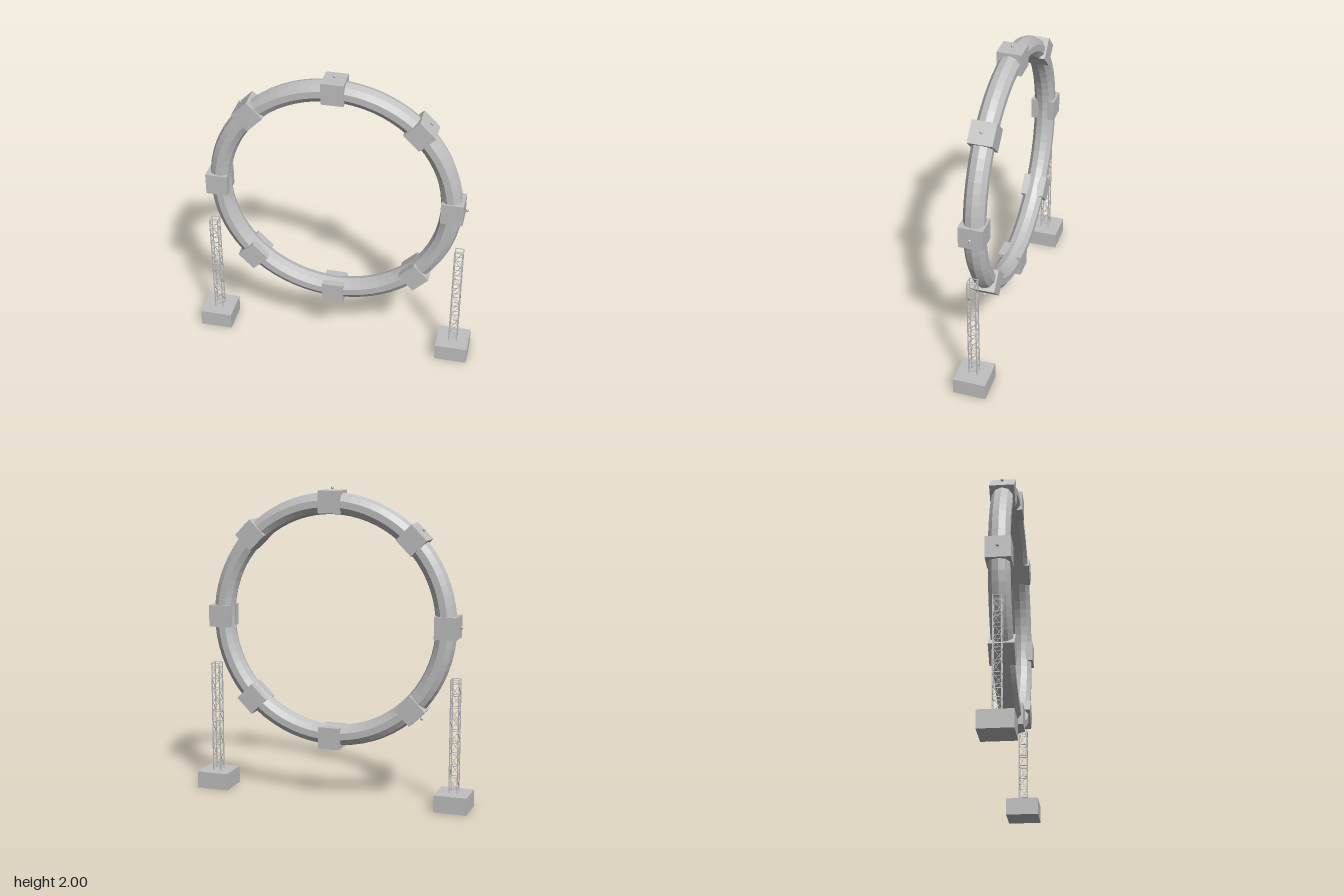
import * as THREE from 'three';

const grey = new THREE.MeshStandardMaterial({ color: 0xc0c0c0, flatShading: true });
grey.name = 'light grey';

const RING_Y = 1.155;

function add(parent, name, geometry, x = 0, y = 0, z = 0) {
  const mesh = new THREE.Mesh(geometry, grey);
  mesh.name = name;
  mesh.position.set(x, y, z);
  parent.add(mesh);
  return mesh;
}

// Thin square bar between two points
function strut(parent, name, a, b, t) {
  const dir = b.clone().sub(a);
  const mesh = add(parent, name, new THREE.BoxGeometry(t, dir.length(), t));
  mesh.position.copy(a).add(b).multiplyScalar(0.5);
  mesh.quaternion.setFromUnitVectors(new THREE.Vector3(0, 1, 0), dir.normalize());
}

// Lattice mast on a square footing
function createTower(name, x) {
  const tower = new THREE.Group();
  tower.name = name;
  tower.position.x = x;
  add(tower, 'footing', new THREE.BoxGeometry(0.21, 0.11, 0.21), 0, 0.055, 0);

  const h = 0.026, base = 0.11, top = 0.835, firstRung = 0.137, step = 0.0742, rungs = 10;
  const corners = [[-h, -h], [h, -h], [h, h], [-h, h]];
  const point = (i, y) => new THREE.Vector3(corners[i % 4][0], y, corners[i % 4][1]);
  for (let i = 0; i < 4; i++) {
    strut(tower, 'mastLeg', point(i, base), point(i, top), 0.006);
    strut(tower, 'topRung', point(i, top - 0.002), point(i + 1, top - 0.002), 0.004);
    for (let r = 0; r < rungs; r++) {
      const y = firstRung + r * step;
      strut(tower, 'rung', point(i, y), point(i + 1, y), 0.004);
      if (r < rungs - 1) {
        const flip = r % 2;
        strut(tower, 'diagonalBrace', point(i + flip, y), point(i + 1 - flip, y + step), 0.003);
      }
    }
  }
  return tower;
}

export function createModel() {
  const model = new THREE.Group();
  model.name = 'ringStation';

  // Faceted ring
  const ring = new THREE.Group();
  ring.name = 'ringAssembly';
  ring.position.y = RING_Y;
  add(ring, 'ringTube', new THREE.TorusGeometry(0.74, 0.0685, 10, 72));

  // Eight clamp blocks, each with a small beacon floating outside it
  for (let i = 0; i < 8; i++) {
    const segment = new THREE.Group();
    segment.name = 'ringSegment';
    segment.rotation.z = (i * Math.PI) / 4;
    add(segment, 'clampBlock', new THREE.BoxGeometry(0.14, 0.14, 0.154), 0.75, 0, 0);
    add(segment, 'beacon', new THREE.SphereGeometry(0.01, 8, 6), 0.835, 0, 0);
    ring.add(segment);
  }
  model.add(ring);

  // Masts either side
  model.add(createTower('leftTower', 0.805), createTower('rightTower', -0.805));
  return model;
}
